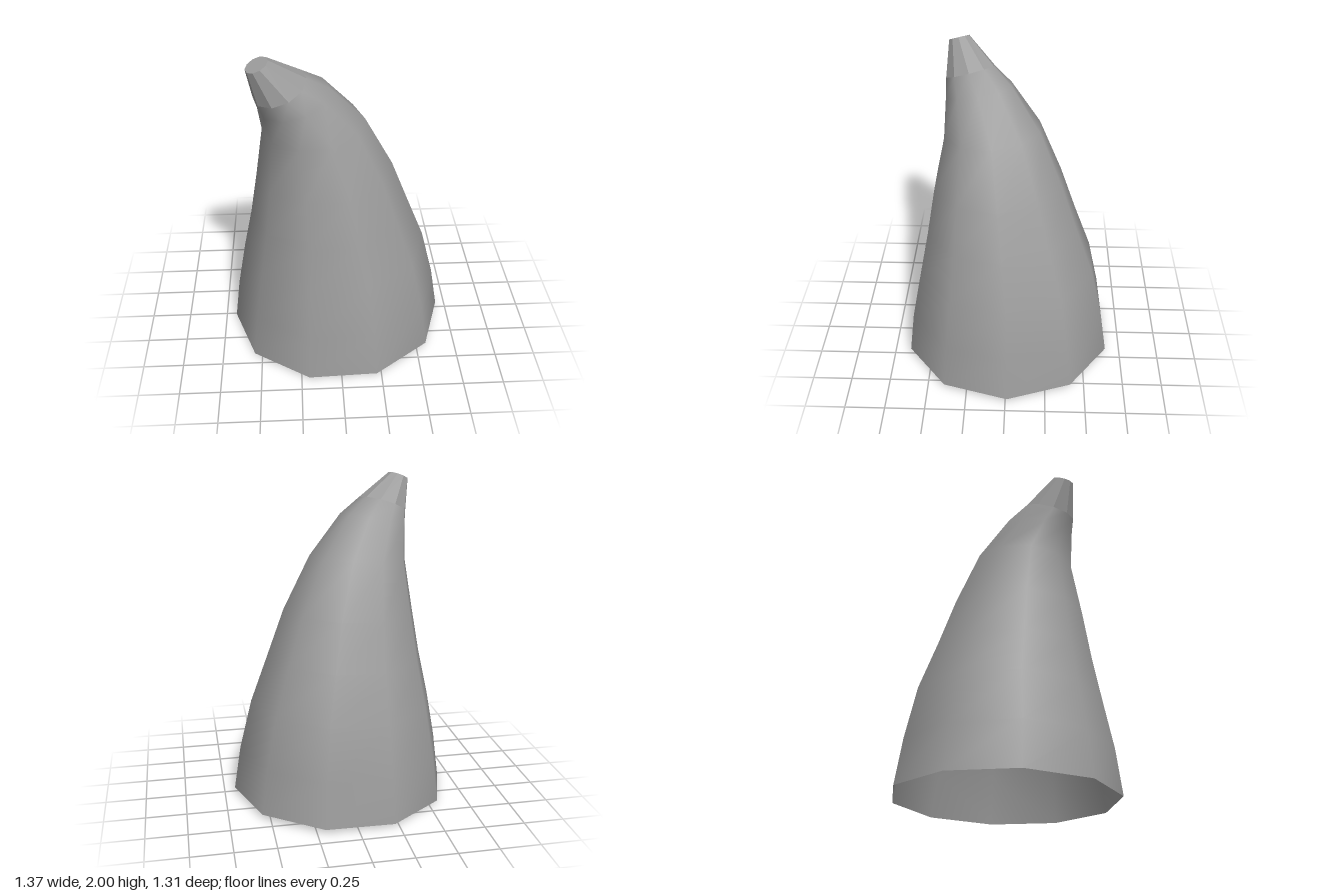
import * as THREE from 'three';

const SIDES = 10;

// Cross-sections: centre x, y, z, radius, and the slope of the ring along x and z
const RINGS = [
  [0, 0.02, 0, 0.685, 0.022, -0.013],
  [-0.005, 0.3, 0.005, 0.645, 0.02, -0.01],
  [-0.017, 0.61, 0.01, 0.578, 0.025, -0.02],
  [-0.045, 0.89, 0.037, 0.494, 0.04, -0.04],
  [-0.077, 1.18, 0.063, 0.415, 0.04, -0.04],
  [-0.141, 1.5, 0.1, 0.306, 0.07, -0.07],
  [-0.255, 1.71, 0.185, 0.21, 0.24, -0.2],
  [-0.33, 1.8, 0.242, 0.153, 0.33, -0.28],
  [-0.45, 1.97, 0.314, 0.064, 0.38, -0.26],
];

// Skin a run of rings, optionally closing the last one
function loft(rings, closeEnd) {
  const positions = [];
  const index = [];
  for (const [cx, cy, cz, r, sx, sz] of rings) {
    for (let j = 0; j < SIDES; j++) {
      const t = (j / SIDES) * Math.PI * 2 + 0.015;
      const dx = r * Math.cos(t);
      const dz = -r * Math.sin(t);
      positions.push(cx + dx, cy + sx * dx + sz * dz, cz + dz);
    }
  }
  for (let i = 0; i < rings.length - 1; i++) {
    for (let j = 0; j < SIDES; j++) {
      const a = i * SIDES + j;
      const b = i * SIDES + ((j + 1) % SIDES);
      index.push(a, b, b + SIDES, a, b + SIDES, a + SIDES);
    }
  }
  if (closeEnd) {
    const first = (rings.length - 1) * SIDES;
    for (let j = 1; j < SIDES - 1; j++) index.push(first, first + j, first + j + 1);
  }
  const geometry = new THREE.BufferGeometry();
  geometry.setAttribute('position', new THREE.Float32BufferAttribute(positions, 3));
  geometry.setIndex(index);
  geometry.computeVertexNormals();
  return geometry;
}

function part(name, geometry, flatShading) {
  const material = new THREE.MeshStandardMaterial({
    color: 0x9c9c9c, flatShading, side: THREE.DoubleSide,
  });
  const mesh = new THREE.Mesh(geometry, material);
  mesh.name = name;
  return mesh;
}

export function createModel() {
  const horn = new THREE.Group();
  horn.name = 'horn';
  // Smooth hollow body, open at the base
  horn.add(part('hornBody', loft(RINGS.slice(0, -1), false), false));
  // Faceted tip with a flat end
  horn.add(part('hornTip', loft(RINGS.slice(-2), true), true));
  return horn;
}
